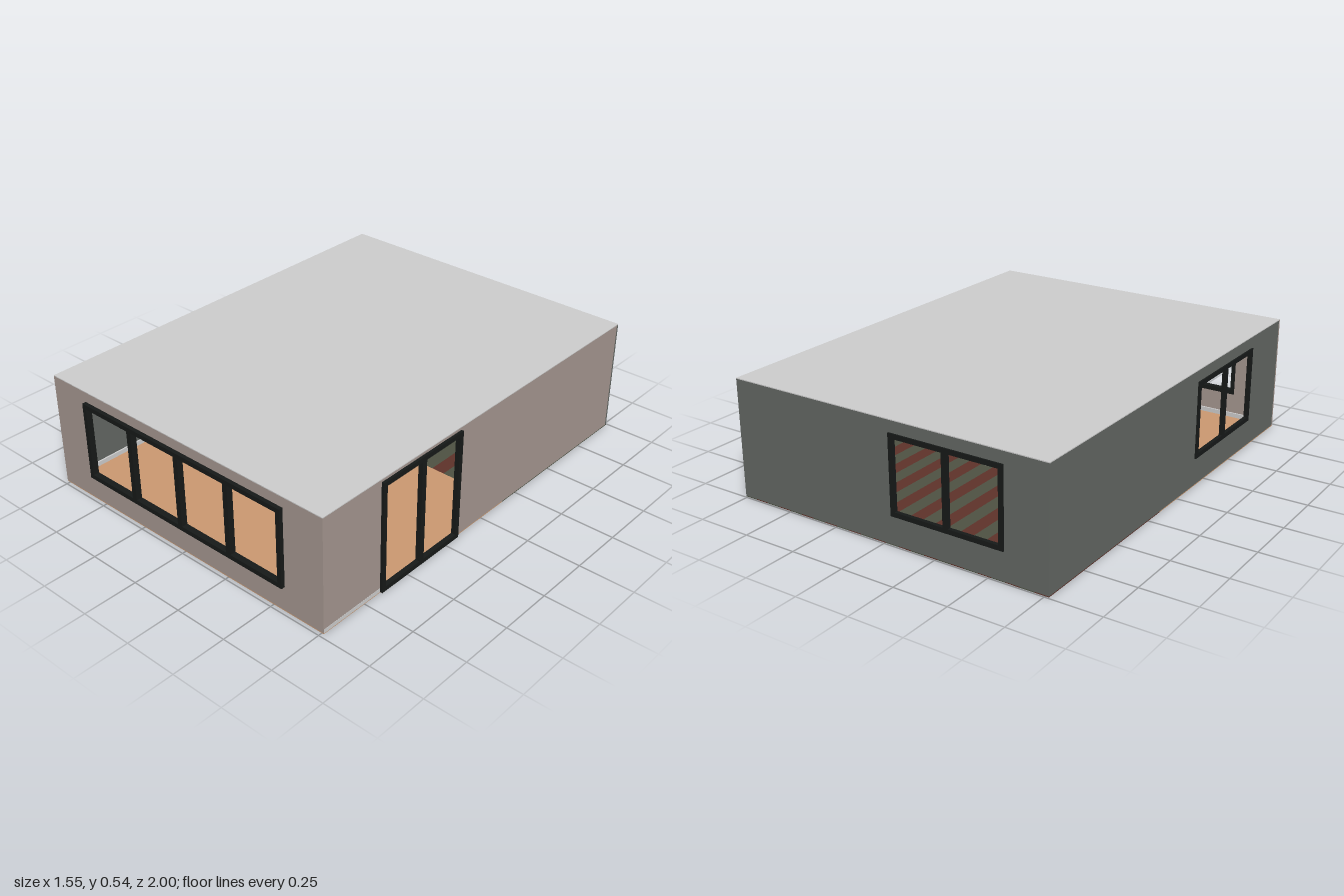
import * as THREE from 'three';

const mat = (name, color) => {
  const m = new THREE.MeshStandardMaterial({ color });
  m.name = name;
  return m;
};

export function createModel() {
  const model = new THREE.Group();
  model.name = 'room';
  const taupe = mat('taupe wall', 0xa3958e);
  const slate = mat('slate wall', 0x626662);
  const plaster = mat('light plaster', 0xcbcbcb);
  const wood = mat('light wood', 0xc9976f);
  const black = mat('black frame', 0x161918);
  const redBrown = mat('red brown', 0x5d3229);
  const olive = mat('olive', 0x4d5142);
  const pale = mat('pale book', 0xd8d8d4);
  const dark = mat('dark book', 0x3b3a38);

  // Box given by its min and max corners
  const box = (name, m, x0, x1, y0, y1, z0, z1, parent = model) => {
    const mesh = new THREE.Mesh(new THREE.BoxGeometry(x1 - x0, y1 - y0, z1 - z0), m);
    mesh.position.set((x0 + x1) / 2, (y0 + y1) / 2, (z0 + z1) / 2);
    mesh.name = name;
    parent.add(mesh);
    return mesh;
  };

  const L = -0.767, R = 0.76, B = -0.993, F = 0.982, H = 0.535, T = 0.01, S = 0.004;

  // Wall drawn in its own plane (u, y), with one optional opening
  const wall = (name, m, u0, u1, hole) => {
    const s = new THREE.Shape();
    s.moveTo(u0, S).lineTo(u1, S).lineTo(u1, H - S).lineTo(u0, H - S).closePath();
    const [a, b, c, d] = hole;
    const p = new THREE.Path();
    p.moveTo(a, c).lineTo(a, d).lineTo(b, d).lineTo(b, c).closePath();
    s.holes.push(p);
    const mesh = new THREE.Mesh(new THREE.ExtrudeGeometry(s, { depth: T, bevelEnabled: false }), m);
    mesh.name = name;
    model.add(mesh);
    return mesh;
  };
  // Frame in a (u, y) plane with evenly spaced mullions, spanning w0..w1 in depth
  const frame = (name, u0, u1, y0, y1, w0, w1, panes, t = 0.021) => {
    const g = new THREE.Group();
    g.name = name;
    box('bottomRail', black, u0, u1, y0, y0 + t, w0, w1, g);
    box('topRail', black, u0, u1, y1 - t, y1, w0, w1, g);
    for (let i = 0; i <= panes; i++) {
      const c = u0 + t / 2 + ((u1 - u0 - t) * i) / panes;
      const h = i % panes ? 0.0125 : t / 2;
      box('upright', black, c - h, c + h, y0 + t, y1 - t, w0, w1, g);
    }
    model.add(g);
    return g;
  };

  // Front and back walls
  wall('frontWall', taupe, L, R, [-0.55, 0.55, 0.13, 0.475]).position.z = F - T;
  wall('backWall', slate, L, R, [-0.56, -0.05, 0.14, 0.47]).position.z = B;
  frame('frontWindow', -0.564, 0.562, 0.118, 0.485, F - T, 1, 4);
  frame('backWindow', -0.57, -0.04, 0.13, 0.48, B - 0.007, B + T, 2);

  // Side walls: turned so that u becomes -z
  const turn = (o, x) => { o.rotation.y = Math.PI / 2; o.position.x = x; };
  turn(wall('leftWall', taupe, -F + T, -B - T, [-0.645, -0.185, 0.015, 0.51]), R - T);
  turn(wall('rightWall', slate, -F + T, -B - T, [-0.67, -0.16, 0.14, 0.47]), L);
  turn(frame('door', -0.658, -0.172, 0.003, 0.52, -T, 0.012, 2), R);
  turn(frame('sideWindow', -0.68, -0.15, 0.13, 0.48, -0.007, T, 2), L);

  // Roof, partition and wood floor
  const split = -0.155;
  box('roof', plaster, L, R, H - S, H, B, F);
  box('partition', plaster, L + T, 0.135, S, H - S, split - 0.02, split);
  box('woodFloor', wood, L, R, 0, S, split, F);

  // Striped floor of the rear room
  const n = 24, w = (R - L) / n;
  for (let i = 0; i < n; i++) {
    box('floorStripe', i % 2 ? olive : redBrown, L + i * w, L + (i + 1) * w, 0, S, B, split);
  }

  // Skirting boards
  box('skirtingRight', plaster, L + T, L + T + 0.008, S, 0.025, split, F - T);
  box('skirtingBack', plaster, L + T, R - T, S, 0.025, B + T, B + T + 0.008);
  box('skirtingFront', plaster, L + T, R - T, S, 0.025, F - T - 0.008, F - T);
  box('outerSkirting', plaster, R, R + 0.001, S, 0.022, 0.66, F);

  // Bookshelf on the back wall: runs of books as [shelf, x start, x end, height, palette]
  const shelf = new THREE.Group();
  shelf.name = 'bookshelf';
  model.add(shelf);
  const ys = [0.208, 0.275, 0.342, 0.408], z0 = B + T;
  ys.forEach((y) => box('shelfBoard', redBrown, 0.245, 0.72, y, y + 0.008, z0, z0 + 0.09, shelf));
  const runs = [
    [0, 0.255, 0.34, 0.045, [dark, redBrown, pale]], [0, 0.385, 0.53, 0.05, [pale, dark, slate]],
    [1, 0.3, 0.41, 0.05, [pale, dark, pale]], [1, 0.43, 0.54, 0.053, [taupe, taupe, pale]],
    [2, 0.29, 0.315, 0.05, [taupe]], [2, 0.41, 0.495, 0.03, [redBrown, dark, taupe]],
    [2, 0.5, 0.545, 0.052, [taupe, pale]], [3, 0.25, 0.71, 0.032, [dark, redBrown, slate, taupe]],
    [0, 0.57, 0.7, 0.05, [dark, taupe, pale]], [1, 0.56, 0.66, 0.05, [pale, redBrown]],
  ];
  for (const [k, a, b, h, palette] of runs) {
    const count = Math.round((b - a) / 0.011), step = (b - a) / count, y = ys[k] + 0.008;
    for (let i = 0; i < count; i++) {
      const top = y + h * (0.82 + 0.18 * Math.abs(Math.sin(i * 2.3 + k)));
      box('book', palette[i % palette.length], a + i * step, a + (i + 0.85) * step, y, top, z0, z0 + 0.07, shelf);
    }
  }
  return model;
}
